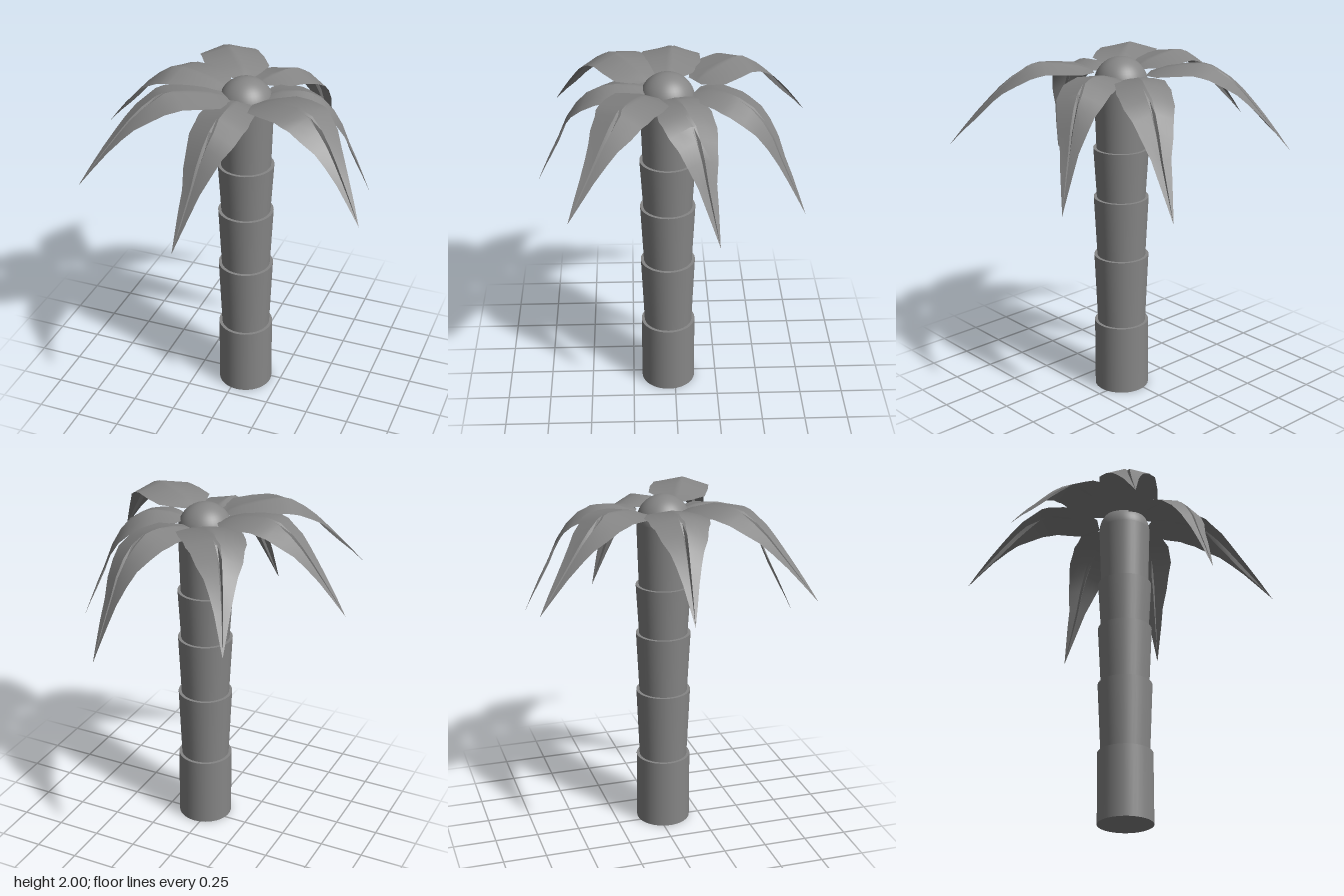
import * as THREE from 'three';
import { toCreasedNormals } from 'three/addons/utils/BufferGeometryUtils.js';

const bark = new THREE.MeshStandardMaterial({ color: 0x868686 });
const leaf = new THREE.MeshStandardMaterial({ color: 0x868686, side: THREE.DoubleSide });
const CX = 0.037, CZ = 0.039;

// Frond rows: [distance along (0..1), height of midrib, half width, edge droop, groove depth]
const LONG = [
  [-0.04, 1.925, 0.06, 0, 0], [0.0, 1.94, 0.1, 0.01, 0], [0.07, 1.96, 0.165, 0.02, 0],
  [0.2, 1.98, 0.172, 0.03, 0], [0.32, 1.99, 0.164, 0.035, 0], [0.38, 1.985, 0.16, 0.04, 0],
  [0.43, 1.975, 0.142, 0.045, 0.01], [0.53, 1.925, 0.122, 0.035, 0.03], [0.62, 1.865, 0.088, 0.02, 0.035],
  [0.7, 1.8, 0.066, 0.01, 0.035], [0.8, 1.715, 0.042, 0, 0.025], [0.9, 1.63, 0.022, 0, 0.01],
  [1, 1.54, 0, 0, 0],
];
const SHORT = [
  [-0.04, 1.91, 0.05, 0, 0], [0.0, 1.92, 0.09, 0.01, 0], [0.1, 1.935, 0.142, 0.025, 0],
  [0.24, 1.94, 0.146, 0.04, 0], [0.31, 1.935, 0.154, 0.045, 0], [0.38, 1.925, 0.147, 0.05, 0],
  [0.5, 1.885, 0.14, 0.05, 0.01], [0.6, 1.82, 0.112, 0.04, 0.03], [0.69, 1.73, 0.088, 0.03, 0.035],
  [0.77, 1.61, 0.055, 0.01, 0.035], [0.85, 1.5, 0.038, 0, 0.025], [0.93, 1.39, 0.018, 0, 0.01],
  [1, 1.29, 0, 0, 0],
];
const ACROSS = [-1, -0.55, -0.1, 0, 0.1, 0.55, 1];

// One frond lofted from base to tip; bend pushes its middle sideways
function frond(rows, [bx, bz], [tx, tz], bend) {
  const len = Math.hypot(tx - bx, tz - bz);
  const nx = -(tz - bz) / len, nz = (tx - bx) / len;
  const pos = [], idx = [], n = ACROSS.length;
  rows.forEach(([t, y, w, droop, groove], i) => {
    const shift = bend * Math.sin(Math.PI * Math.max(t, 0));
    ACROSS.forEach((u, j) => {
      const s = shift + u * w;
      const h = y - droop * Math.abs(u) - (u === 0 ? groove : 0);
      pos.push(bx + (tx - bx) * t + nx * s, h, bz + (tz - bz) * t + nz * s);
      if (i && j) {
        const d = i * n + j, c = d - 1, b = d - n, a = b - 1;
        idx.push(a, b, c, b, d, c);
      }
    });
  });
  const g = new THREE.BufferGeometry();
  g.setAttribute('position', new THREE.Float32BufferAttribute(pos, 3));
  g.setIndex(idx);
  return new THREE.Mesh(toCreasedNormals(g, 0.45), leaf);
}

export function createModel() {
  const tree = new THREE.Group();
  tree.name = 'palmTree';

  // Trunk: stacked sections, each flaring to a lip at its top
  const trunk = new THREE.Group();
  trunk.name = 'trunk';
  const sections = [
    [0, 0.415, 0.158, 0.158], [0.415, 0.832, 0.14, 0.158], [0.832, 1.187, 0.14, 0.158],
    [1.187, 1.48, 0.14, 0.158], [1.48, 1.848, 0.14, 0.152],
  ];
  sections.forEach(([y0, y1, r0, r1], i) => {
    const m = new THREE.Mesh(new THREE.CylinderGeometry(r1, r0, y1 - y0, 40), bark);
    m.position.set(CX, (y0 + y1) / 2, CZ);
    m.name = `trunkSection${i + 1}`;
    trunk.add(m);
  });
  tree.add(trunk);

  // Rounded crown closing the top of the trunk
  const dome = new THREE.Mesh(new THREE.SphereGeometry(0.152, 40, 14, 0, Math.PI * 2, 0, Math.PI / 2), bark);
  dome.position.set(CX, 1.848, CZ);
  dome.name = 'crown';
  tree.add(dome);

  // Fronds: [profile, base xz, tip xz, sideways bend]
  const fronds = new THREE.Group();
  fronds.name = 'fronds';
  [
    [LONG, [-0.045, -0.14], [-0.467, -0.78], -0.03],
    [SHORT, [0.07, -0.14], [0.34, -0.705], 0.035],
    [SHORT, [0.175, 0.005], [0.685, -0.22], 0.025],
    [LONG, [0.185, 0.155], [0.84, 0.563], -0.035],
    [SHORT, [0.035, 0.16], [-0.1, 0.775], -0.045],
    [LONG, [-0.06, 0.165], [-0.667, 0.687], 0.03],
    [LONG, [-0.105, 0.03], [-0.843, -0.06], -0.01],
  ].forEach((f, i) => {
    const m = frond(...f);
    m.name = `frond${i + 1}`;
    fronds.add(m);
  });
  tree.add(fronds);
  return tree;
}
